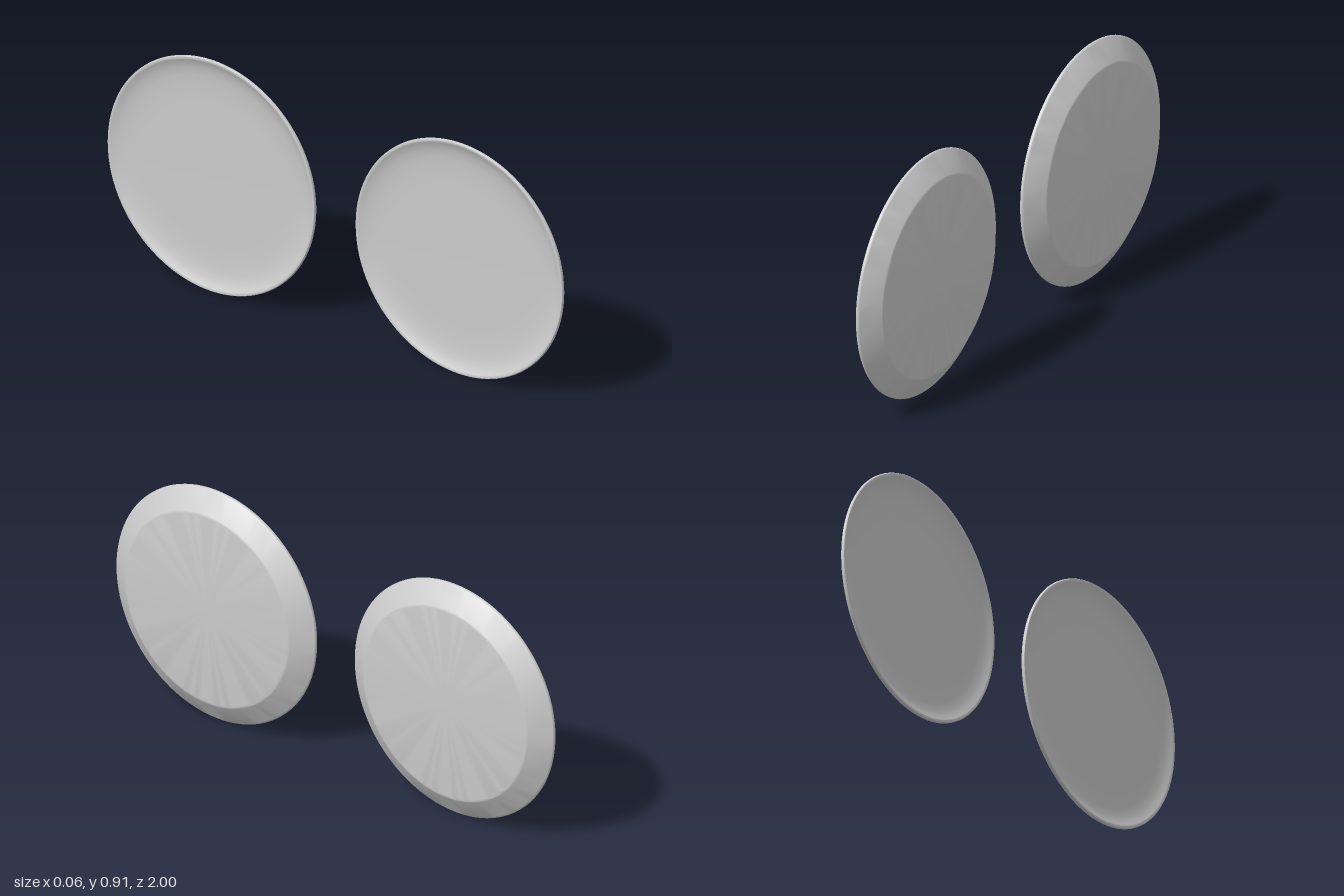
import * as THREE from 'three';
import { toCreasedNormals } from 'three/addons/utils/BufferGeometryUtils.js';

const R = 0.456; // rim radius

// Half-profile of a plate: [radius, height], base centre -> rim -> dish centre
const PROFILE = [
  [0, -0.032], [0.366, -0.032], [0.372, -0.0315], [0.377, -0.029], [0.381, -0.026], // base and rounded foot
  [0.449, 0.015], [0.453, 0.018], [R, 0.022], [R, 0.027], [0.453, 0.031], [0.448, 0.032], // flared side and rim
  [0.442, 0.029], [0.43, 0.023], [0.41, 0.016], [0.38, 0.011], [0.34, 0.008], [0.28, 0.007], [0, 0.007], // shallow dish
];

export function createModel() {
  const group = new THREE.Group();
  const material = new THREE.MeshStandardMaterial({ color: 0xcccccc });
  const points = PROFILE.map(([r, h]) => new THREE.Vector2(r, h));

  // The plate stands on edge, its base towards +x and its dish towards -x
  const geometry = toCreasedNormals(new THREE.LatheGeometry(points, 96), 0.7);
  geometry.rotateZ(Math.PI / 2);

  for (const side of [1, -1]) {
    const plate = new THREE.Mesh(geometry, material);
    plate.name = side > 0 ? 'frontPlate' : 'backPlate';
    plate.position.set(0, R, side * (1 - R));
    group.add(plate);
  }
  return group;
}
